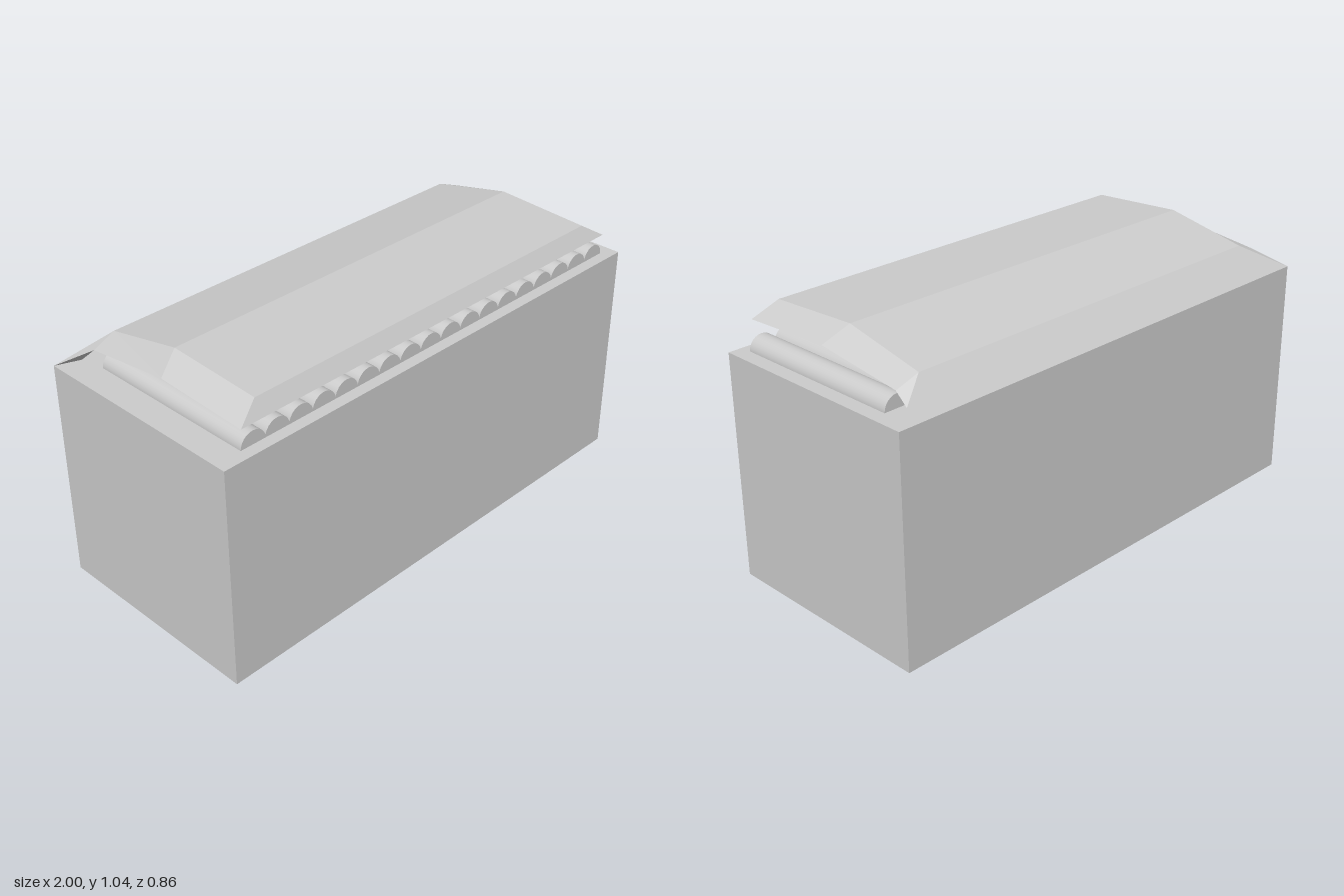
import * as THREE from 'three';

export function createModel() {
  const model = new THREE.Group();
  const top = 0.867;
  const grey = new THREE.MeshStandardMaterial({ color: 0xcccccc });
  const thin = new THREE.MeshStandardMaterial({ color: 0xcccccc, flatShading: true, side: THREE.DoubleSide });

  // Solid base block
  const base = new THREE.Mesh(new THREE.BoxGeometry(2, top, 0.86), grey);
  base.name = 'base';
  base.position.y = top / 2;
  model.add(base);

  // Row of round bars, half sunk into the top of the base
  const bars = new THREE.Group();
  bars.name = 'bars';
  const barGeometry = new THREE.CylinderGeometry(0.052, 0.052, 0.687, 24).rotateX(Math.PI / 2);
  const count = 18;
  for (let i = 0; i < count; i++) {
    const bar = new THREE.Mesh(barGeometry, grey);
    bar.name = 'bar';
    bar.position.set(-0.842 + (1.735 * i) / (count - 1), top - 0.001, 0.042);
    bars.add(bar);
  }
  model.add(bars);

  // Folded lid: ridge points and the lower rim points, from back to front
  const ridge = [[1, top, -0.43], [0.82, 0.971, -0.323], [0.82, 1.041, 0], [0.82, 1.023, 0.375]];
  const rim = [[0.91, top, -0.395], [0.91, 0.937, -0.317], [0.91, 0.982, 0.037], [0.91, 0.966, 0.411]];
  const mirror = ([x, y, z]) => [-x, y, z];
  const positions = [];
  const tri = (...corners) => corners.forEach((p) => positions.push(...p));
  const quad = (a, b, c, d) => { tri(a, b, c); tri(a, c, d); };

  for (let i = 0; i < 3; i++) {
    const [a, b, c, d] = [ridge[i], ridge[i + 1], rim[i + 1], rim[i]];
    // Top panel, then the sloping flange on each side
    quad(mirror(a), mirror(b), b, a);
    quad(b, c, d, a);
    quad(mirror(a), mirror(d), mirror(c), mirror(b));
  }
  // Front flange
  quad(mirror(ridge[3]), mirror(rim[3]), rim[3], ridge[3]);

  const lidGeometry = new THREE.BufferGeometry();
  lidGeometry.setAttribute('position', new THREE.Float32BufferAttribute(positions, 3));
  lidGeometry.computeVertexNormals();
  const lid = new THREE.Mesh(lidGeometry, thin);
  lid.name = 'lid';
  model.add(lid);

  return model;
}
